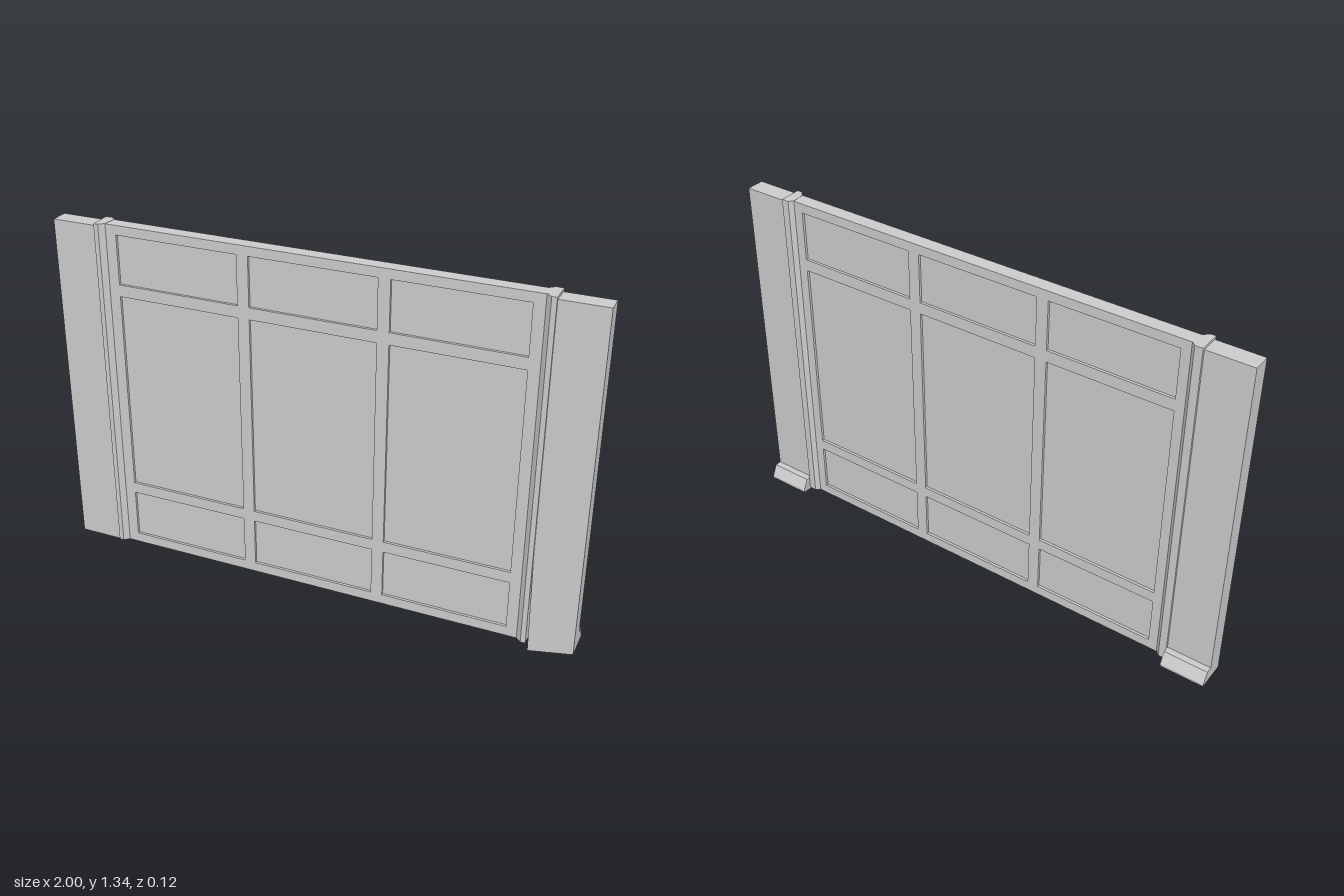
import * as THREE from 'three';

const material = new THREE.MeshStandardMaterial({ color: 0xcccccc, flatShading: true });

function shapeFrom(points) {
  return new THREE.Shape(points.map(([x, y]) => new THREE.Vector2(x, y)));
}

function extrude(shape, depth) {
  return new THREE.ExtrudeGeometry(shape, { depth, bevelEnabled: false });
}

function addPart(group, name, geometry) {
  const mesh = new THREE.Mesh(geometry, material);
  mesh.name = name;
  group.add(mesh);
  return mesh;
}

// Side pier with its sloped foot at the back: a (z, y) profile swept along x
function pierGeometry(x0) {
  const profile = [
    [0.053, 0.025], [0.053, 0.4], [0.053, 1.33], [-0.015, 1.33],
    [-0.015, 0.078], [-0.04, 0.078], [-0.062, 0.035], [-0.062, 0.025],
  ];
  const geometry = extrude(shapeFrom(profile.map(([z, y]) => [-z, y])), 0.17);
  geometry.rotateY(Math.PI / 2);
  geometry.translate(x0, 0, 0);
  return geometry;
}

// Pull the inner front bottom corner of a pier down and forward
function pullCorner(geometry) {
  const p = geometry.attributes.position;
  for (let i = 0; i < p.count; i++) {
    if (p.getX(i) < 0.84 && p.getY(i) < 0.03 && p.getZ(i) > 0.05) p.setXYZ(i, 0.84, 0, 0.062);
  }
  geometry.computeVertexNormals();
  return geometry;
}

// Chamfered upright between pier and panel: an (x, z) plan swept upward
function uprightGeometry(side) {
  const plan = [
    [0.787, -0.01], [0.802, -0.024], [0.83, -0.024],
    [0.83, 0.06], [0.812, 0.06], [0.793, 0.043],
  ];
  const geometry = extrude(shapeFrom(plan.map(([x, z]) => [side * x, -z])), 1.312);
  geometry.rotateX(-Math.PI / 2);
  geometry.translate(0, 0.027, 0);
  return geometry;
}

export function createModel() {
  const group = new THREE.Group();
  group.name = 'panelledWall';

  // Frame with three columns and three rows of openings
  const frame = shapeFrom([[-0.8, 0.027], [0.8, 0.027], [0.8, 1.338], [-0.8, 1.338]]);
  const columns = [[-0.752, -0.28], [-0.236, 0.236], [0.28, 0.752]];
  const rows = [[0.065, 0.252], [0.295, 1.07], [1.115, 1.302]];
  for (const [x0, x1] of columns) {
    for (const [y0, y1] of rows) {
      frame.holes.push(new THREE.Path([
        new THREE.Vector2(x0, y0), new THREE.Vector2(x0, y1),
        new THREE.Vector2(x1, y1), new THREE.Vector2(x1, y0),
      ]));
    }
  }
  addPart(group, 'panelFrame', extrude(frame, 0.053)).position.z = -0.01;

  // Recessed panes, set back equally from both faces
  for (const [x0, x1] of columns) {
    for (const [y0, y1] of rows) {
      const pane = addPart(group, 'pane', new THREE.BoxGeometry(x1 - x0, y1 - y0, 0.033));
      pane.position.set((x0 + x1) / 2, (y0 + y1) / 2, 0.0165);
    }
  }

  // Uprights and piers on both sides
  addPart(group, 'leftUpright', uprightGeometry(1));
  addPart(group, 'rightUpright', uprightGeometry(-1));
  addPart(group, 'leftPier', pullCorner(pierGeometry(0.83)));
  addPart(group, 'rightPier', pierGeometry(-1));

  return group;
}
